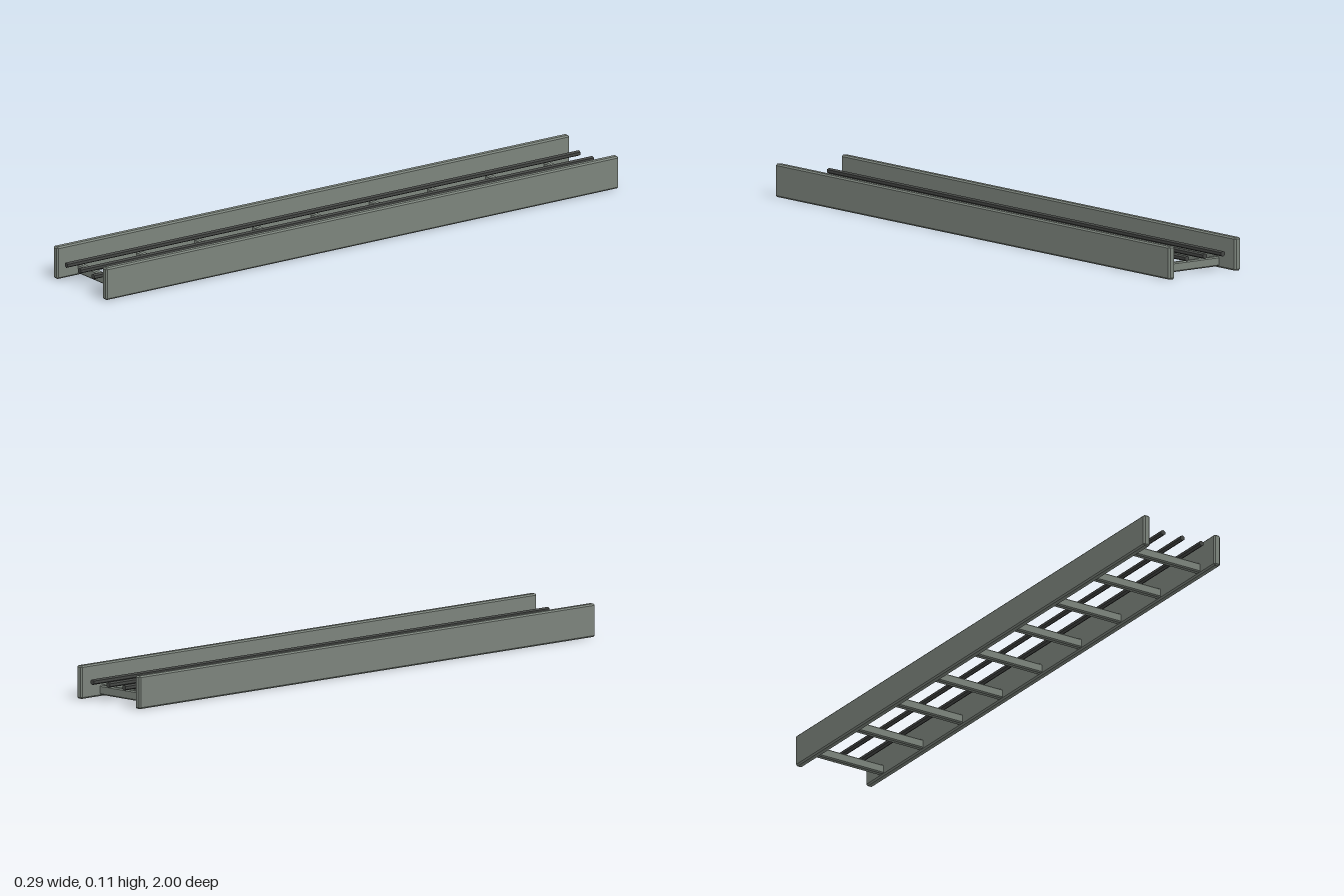
import * as THREE from 'three';
import { ConvexGeometry } from 'three/addons/geometries/ConvexGeometry.js';

// Box with every edge chamfered by c
function chamferBox(w, h, d, c) {
  const points = [];
  for (const sx of [-1, 1]) for (const sy of [-1, 1]) for (const sz of [-1, 1]) {
    const x = w / 2, y = h / 2, z = d / 2;
    points.push(
      new THREE.Vector3(sx * x, sy * (y - c), sz * (z - c)),
      new THREE.Vector3(sx * (x - c), sy * y, sz * (z - c)),
      new THREE.Vector3(sx * (x - c), sy * (y - c), sz * z)
    );
  }
  return new ConvexGeometry(points);
}

export function createModel() {
  const model = new THREE.Group();
  model.name = 'cableTray';
  const steel = new THREE.MeshStandardMaterial({ color: 0x7c847c, flatShading: true });
  const rubber = new THREE.MeshStandardMaterial({ color: 0x444644, flatShading: true });

  const add = (name, geometry, material, x, y, z) => {
    const mesh = new THREE.Mesh(geometry, material);
    mesh.name = name;
    mesh.position.set(x, y, z);
    model.add(mesh);
  };

  // Side rails
  const rail = chamferBox(0.024, 0.107, 2, 0.005);
  add('leftRail', rail, steel, 0.134, 0.0535, 0);
  add('rightRail', rail, steel, -0.134, 0.0535, 0);

  // Cross rungs, ends tucked into the rails
  const rung = chamferBox(0.256, 0.031, 0.021, 0.004);
  for (let i = -4; i <= 4; i++) add('rung', rung, steel, 0, 0.0205, i * 0.227);

  // Hexagonal cables running the full length
  const cable = new THREE.CylinderGeometry(0.009, 0.009, 2, 6).rotateX(Math.PI / 2);
  for (const x of [-0.073, 0, 0.073]) add('cable', cable, rubber, x, 0.061, 0);

  return model;
}
